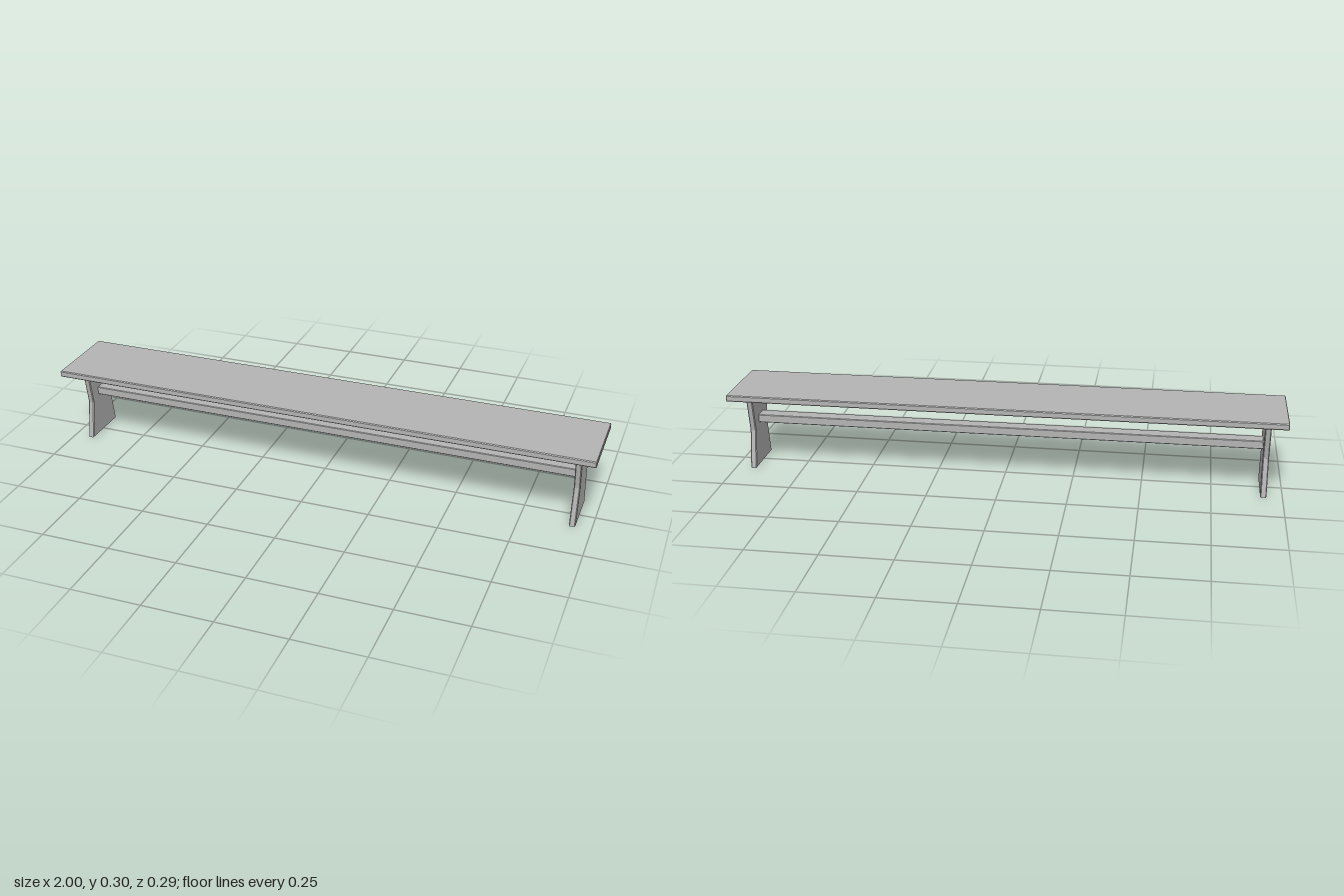
import * as THREE from 'three';

// Solid with a (z, y) profile, running along x, with chamfered ends
function slab(name, profile, x0, x1, bevel, material) {
  const shape = new THREE.Shape(profile.map(([z, y]) => new THREE.Vector2(-z, y)));
  const geometry = new THREE.ExtrudeGeometry(shape, {
    depth: x1 - x0 - 2 * bevel,
    bevelEnabled: true,
    bevelThickness: bevel,
    bevelSize: bevel,
    bevelOffset: -bevel,
    bevelSegments: 1,
  });
  geometry.translate(0, 0, x0 + bevel);
  geometry.rotateY(Math.PI / 2);
  const mesh = new THREE.Mesh(geometry, material);
  mesh.name = name;
  return mesh;
}

// Rectangle profile with clipped corners
function clippedRect(z0, z1, y0, y1, c) {
  return [
    [z0 + c, y0], [z1 - c, y0], [z1, y0 + c], [z1, y1 - c],
    [z1 - c, y1], [z0 + c, y1], [z0, y1 - c], [z0, y0 + c],
  ];
}

export function createModel() {
  const bench = new THREE.Group();
  bench.name = 'bench';
  const grey = new THREE.MeshStandardMaterial({ color: 0xb4b4b4 });
  grey.name = 'plain grey';

  // Long seat plank
  bench.add(slab('seat', clippedRect(-0.147, 0.147, 0.278, 0.301, 0.003), -1, 1, 0.002, grey));

  // Waisted end boards
  const legProfile = [
    [0.084, 0], [0.06, 0.14], [0.084, 0.28],
    [-0.096, 0.28], [-0.072, 0.14], [-0.096, 0],
  ];
  bench.add(slab('leftLeg', legProfile, 0.922, 0.944, 0.003, grey));
  bench.add(slab('rightLeg', legProfile, -0.944, -0.922, 0.003, grey));

  // Stretcher rail between the end boards
  bench.add(slab('stretcher', clippedRect(-0.032, 0.02, 0.159, 0.189, 0.002), -0.926, 0.926, 0.001, grey));

  return bench;
}
